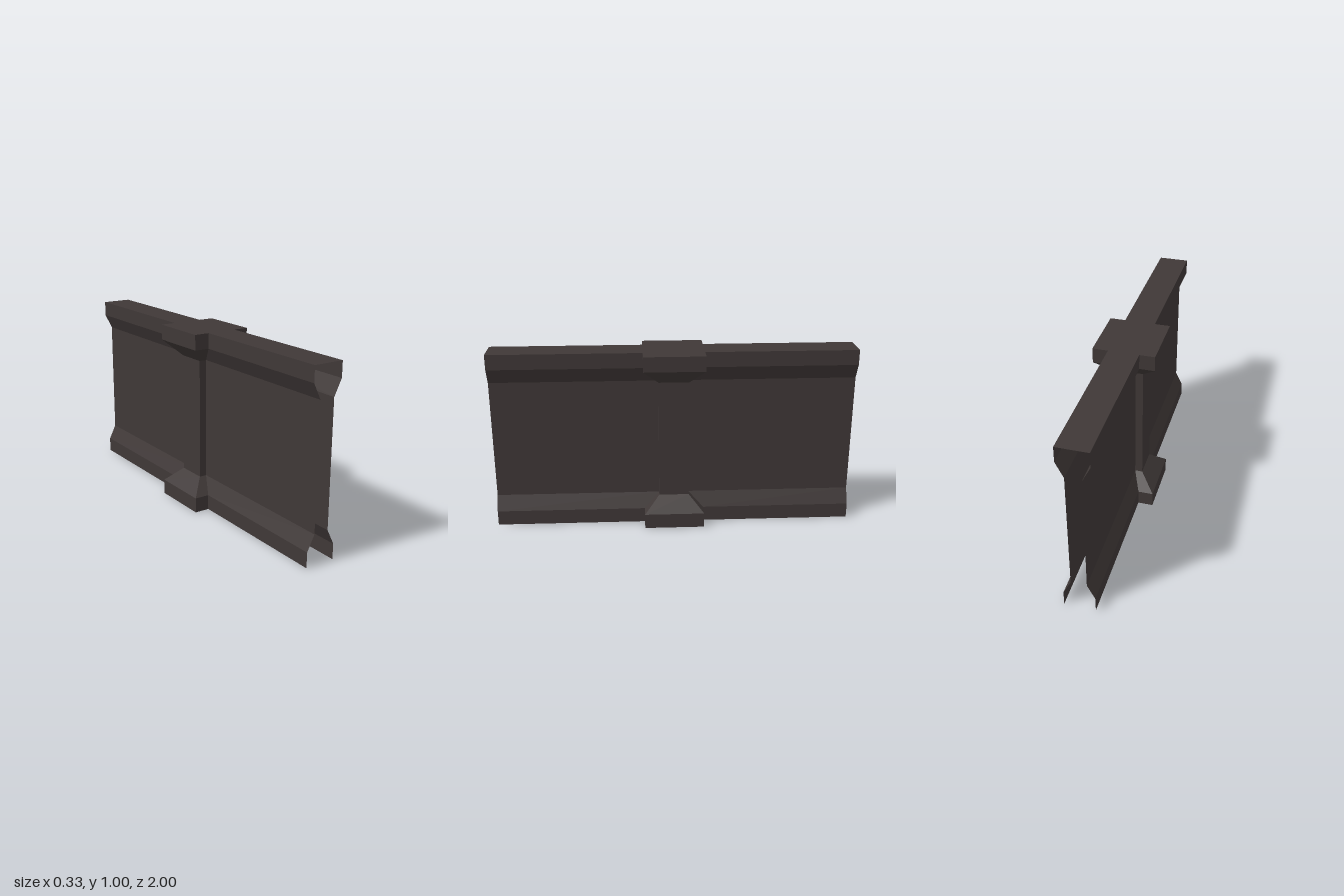
import * as THREE from 'three';

// Each level: height, half thickness of the wall, half width of the pillar
const LEVELS = [
  [0, 1 / 12, 1 / 6],
  [1 / 12, 1 / 12, 1 / 6],
  [1 / 6, 1 / 24, 1 / 12],
  [5 / 6, 1 / 24, 1 / 12],
  [11 / 12, 1 / 12, 1 / 6],
  [1, 1 / 12, 1 / 6],
];

// Open shell through the [x, z] outline given for each level
function loft(outline) {
  const rows = LEVELS.map(([y, w, p]) => outline(w, p).map(([x, z]) => [x, y, z]));
  const pos = [];
  for (let i = 0; i < rows.length - 1; i++) {
    for (let j = 0; j < rows[i].length - 1; j++) {
      const a = rows[i][j], b = rows[i][j + 1], c = rows[i + 1][j + 1], d = rows[i + 1][j];
      pos.push(...a, ...b, ...c, ...a, ...c, ...d);
    }
  }
  const geometry = new THREE.BufferGeometry();
  geometry.setAttribute('position', new THREE.Float32BufferAttribute(pos, 3));
  geometry.computeVertexNormals();
  return geometry;
}

export function createModel() {
  const model = new THREE.Group();
  model.name = 'wallSection';
  const darkMetal = new THREE.MeshStandardMaterial({ color: 0x3f3837, side: THREE.DoubleSide });
  darkMetal.name = 'darkMetal';

  const add = (parent, name, geometry) => {
    const mesh = new THREE.Mesh(geometry, darkMetal);
    mesh.name = name;
    parent.add(mesh);
    return mesh;
  };

  // Two opposite sides, hollow between them and open at the ends and base
  const frontPanel = loft((w, p) => [[w, 1], [w, p]]);
  const backPanel = loft((w, p) => [[w, -p], [w, -1]]);
  const pillar = loft((w, p) => [[w, p], [p, p], [p, -p], [w, -p]]);
  for (const [name, turn] of [['leftSide', 0], ['rightSide', Math.PI]]) {
    const side = new THREE.Group();
    side.name = name;
    side.rotation.y = turn;
    add(side, 'wallPanelA', frontPanel);
    add(side, 'wallPanelB', backPanel);
    add(side, 'halfPillar', pillar);
    model.add(side);
  }

  // Flat cross-shaped top
  const [, w, p] = LEVELS[LEVELS.length - 1];
  const cross = new THREE.Shape([
    [w, -1], [w, -p], [p, -p], [p, p], [w, p], [w, 1],
    [-w, 1], [-w, p], [-p, p], [-p, -p], [-w, -p], [-w, -1],
  ].map(([x, z]) => new THREE.Vector2(x, z)));
  const top = add(model, 'topCap', new THREE.ShapeGeometry(cross));
  top.rotation.x = -Math.PI / 2;
  top.position.y = 1;

  return model;
}
